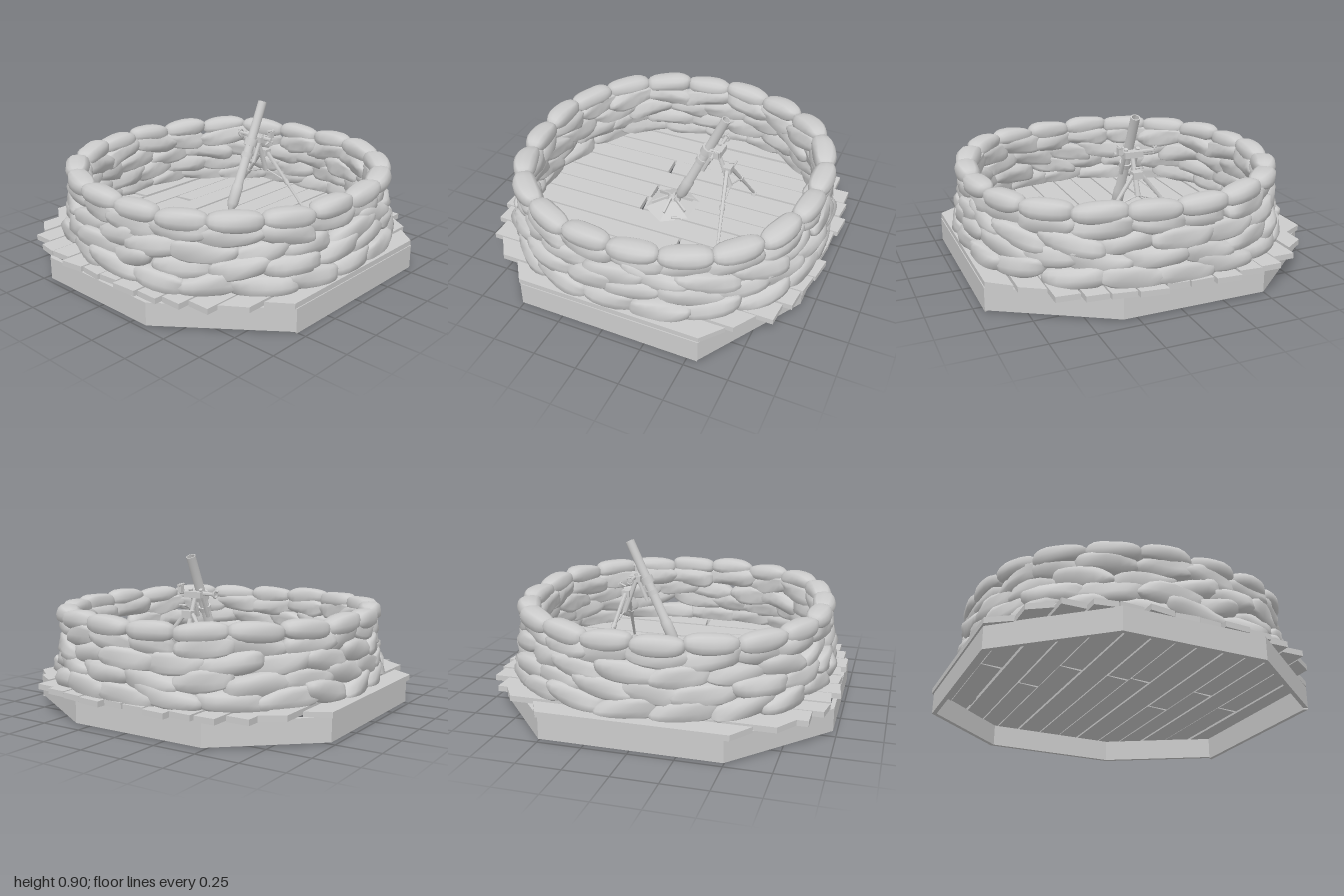
import * as THREE from 'three';
import { mergeVertices, toCreasedNormals } from 'three/addons/utils/BufferGeometryUtils.js';

const grey = new THREE.MeshStandardMaterial({ color: 0xcccccc });
const greyBoth = new THREE.MeshStandardMaterial({ color: 0xcccccc, side: THREE.DoubleSide });
const V = (x, y, z) => new THREE.Vector3(x, y, z);

let seed = 7;
const rnd = () => (seed = (seed * 16807) % 2147483647) / 2147483647;
const jit = (a) => (rnd() - 0.5) * 2 * a;

function add(parent, geo, name, mat = grey) {
  const m = new THREE.Mesh(geo, mat);
  m.name = name;
  parent.add(m);
  return m;
}

// Horizontal slab from an outline of [x, z] points
function slab(parent, pts, y, h, name) {
  const shape = new THREE.Shape(pts.map(([x, z]) => new THREE.Vector2(x, -z)));
  const geo = new THREE.ExtrudeGeometry(shape, { depth: h, bevelEnabled: false });
  geo.rotateX(-Math.PI / 2).translate(0, y, 0);
  return add(parent, geo, name);
}

// Turn a mesh's y axis along a direction
function aim(mesh, from, to) {
  mesh.position.copy(from);
  mesh.quaternion.setFromUnitVectors(V(0, 1, 0), to.clone().sub(from).normalize());
  return mesh;
}

function rod(parent, a, b, r0, r1, name, sides = 10) {
  const len = a.distanceTo(b);
  const geo = new THREE.CylinderGeometry(r1, r0, len, sides).translate(0, len / 2, 0);
  return aim(add(parent, toCreasedNormals(geo, 0.8), name), a, b);
}

// Radius factor of the slightly squared ring
const ring = (a) => Math.pow(Math.abs(Math.cos(a)) ** 2.25 + Math.abs(Math.sin(a)) ** 2.25, -1 / 2.25);
const soft = (v, p) => Math.sign(v) * Math.abs(v) ** p;

// One sandbag bent along the ring
function sandbag(parent, a, half, radius, y, depth, height, lump, name) {
  let geo = new THREE.SphereGeometry(1, 12, 10).rotateX(Math.PI / 2);
  geo.deleteAttribute('uv');
  geo.deleteAttribute('normal');
  geo = mergeVertices(geo, 1e-4);
  const p = geo.attributes.position;
  const tilt = jit(lump * 1.6), yaw = jit(lump), f1 = rnd() * 6, f2 = rnd() * 6;
  for (let i = 0; i < p.count; i++) {
    const x = p.getX(i), v = p.getY(i), t = p.getZ(i);
    const s = soft(t, 0.8);
    const wob = lump * (Math.sin(3 * s + f1 + 2 * v) + Math.sin(5 * v + f2 - 2 * s)) * 0.35;
    const ang = a + half * s;
    const r = (radius + soft(x, 0.7) * depth / 2 + wob + yaw * s) * ring(ang);
    const yy = y + soft(v, 0.7) * height / 2 + tilt * s + wob * 0.6;
    p.setXYZ(i, 0.015 + Math.cos(ang) * r, Math.max(0.15, yy), Math.sin(ang) * r);
  }
  geo.computeVertexNormals();
  add(parent, geo, name);
}

function createModel() {
  const model = new THREE.Group();

  // Octagonal skirt of boards under the deck
  const skirt = new THREE.Group();
  skirt.name = 'skirt';
  model.add(skirt);
  const oct = [[-0.51, 0.95], [0.56, 0.95], [0.93, 0.33], [0.93, -0.49],
    [0.5, -0.98], [-0.5, -0.98], [-0.98, -0.45], [-0.98, 0.35]];
  const inner = ([x, z]) => [x * 0.975, z * 0.975];
  oct.forEach((a, i) => {
    const b = oct[(i + 1) % 8];
    slab(skirt, [a, b, inner(b), inner(a)], 0.01 - (i === 0 ? 0.01 : 0), i === 0 ? 0.14 : 0.13, 'skirtBoard');
  });

  // Deck planks: back z, front z, left and right ends at each edge, optional joint x
  const deck = new THREE.Group();
  deck.name = 'deck';
  model.add(deck);
  const planks = [
    [-0.99, -0.86, -0.53, 0.51, -0.62, 0.58], [-0.85, -0.73, -0.74, 0.72, -0.82, 0.8, -0.02],
    [-0.72, -0.59, -0.88, 0.86, -0.88, 0.86], [-0.58, -0.46, -0.94, 0.95, -0.96, 0.95, 0.14],
    [-0.45, -0.32, -0.96, 0.97, -0.95, 0.96, -0.18], [-0.31, -0.17, -1, 1, -0.98, 0.99],
    [-0.16, -0.03, -0.97, 0.97, -0.98, 0.97, -0.17], [-0.02, 0.1, -0.97, 0.97, -0.96, 0.96, -0.18],
    [0.11, 0.26, -0.99, 1, -0.98, 0.98], [0.27, 0.4, -0.96, 0.97, -0.96, 0.95, 0.17],
    [0.41, 0.53, -0.92, 0.94, -0.92, 0.93, -0.15], [0.54, 0.67, -0.86, 0.88, -0.86, 0.87],
    [0.68, 0.81, -0.8, 0.78, -0.71, 0.7, 0.02], [0.82, 0.945, -0.61, 0.66, -0.52, 0.56]];
  for (const [z0, z1, l0, r0, l1, r1, joint] of planks) {
    const y = 0.14 + jit(0.004), h = 0.032;
    if (joint === undefined) {
      slab(deck, [[l0, z0], [r0, z0], [r1, z1], [l1, z1]], y, h, 'plank');
    } else {
      slab(deck, [[l0, z0], [joint - 0.015, z0], [joint - 0.005, z1], [l1, z1]], y, h, 'plank');
      slab(deck, [[joint, z0], [r0, z0], [r1, z1], [joint + 0.02, z1]], y + 0.003, h, 'plank');
    }
  }

  // Sandbag wall: rough leaning courses, then a neat top course
  const wall = new THREE.Group();
  wall.name = 'sandbagWall';
  model.add(wall);
  const step = Math.PI / 10;
  for (let c = 0; c < 4; c++) {
    for (let i = 0; i < 20; i++) {
      const a = (i + (c % 2 ? 0.5 : 0)) * step + jit(0.04);
      sandbag(wall, a, step * (0.57 + rnd() * 0.12), 0.885 - c * 0.012 + jit(0.012),
        0.215 + c * 0.088 + jit(0.012), 0.125, 0.125, 0.02, 'wallSandbag');
    }
  }
  for (let i = 0; i < 20; i++) {
    sandbag(wall, (i + 0.5) * step, step * 0.525, 0.86 + jit(0.006), 0.55 + jit(0.006),
      0.135, 0.108, 0.007, 'topSandbag');
  }

  // Mortar standing on the deck, leaning to +x
  const mortar = new THREE.Group();
  mortar.name = 'mortar';
  model.add(mortar);

  // Dished hexagonal base plate
  const plate = new THREE.CylinderGeometry(0.05, 0.185, 0.05, 6).toNonIndexed();
  plate.scale(0.9, 1, 1).computeVertexNormals();
  add(mortar, plate, 'basePlate').position.set(-0.015, 0.2, -0.01);
  for (let i = 0; i < 6; i++) {
    const a = (i + 0.5) * Math.PI / 3;
    const rib = add(mortar, new THREE.BoxGeometry(0.11, 0.025, 0.012), 'plateRib');
    rib.position.set(-0.015 + Math.cos(a) * 0.075, 0.218, -0.01 + Math.sin(a) * 0.075);
    rib.rotation.set(0, -a, -0.35, 'YXZ');
  }
  rod(mortar, V(0.1, 0.2, 0.12), V(0.05, 0.21, 0.15), 0.01, 0.01, 'plateHandle', 6);

  // Barrel with ball foot, bands and open bore
  const foot = V(0.015, 0.215, 0), muzzle = V(0.32, 0.885, 0);
  const L = foot.distanceTo(muzzle);
  const profile = [[0, 0], [0.016, 0.005], [0.02, 0.025], [0.014, 0.045], [0.026, 0.07], [0.034, 0.09],
    [0.034, 0.2], [0.028, 0.215], [0.027, L], [0.021, L], [0.021, 0.25], [0, 0.25]]
    .map(([x, y]) => new THREE.Vector2(x, y));
  aim(add(mortar, toCreasedNormals(new THREE.LatheGeometry(profile, 16), 0.6), 'barrel', greyBoth), foot, muzzle);
  const at = (t) => foot.clone().lerp(muzzle, t);
  rod(mortar, at(0.52), at(0.56), 0.036, 0.036, 'barrelBand', 14);
  rod(mortar, at(0.62), at(0.68), 0.04, 0.04, 'barrelCollar', 14);

  // Yoke, traverse screw and recoil cylinders
  const yoke = V(0.275, 0.665, 0);
  rod(mortar, V(0.275, 0.672, 0.11), V(0.275, 0.672, -0.13), 0.011, 0.011, 'traverseScrew');
  add(mortar, new THREE.BoxGeometry(0.07, 0.035, 0.11), 'yoke').position.copy(yoke);
  for (const s of [-1, 1]) {
    rod(mortar, V(0.2, 0.53, s * 0.036), V(0.275, 0.695, s * 0.036), 0.012, 0.012, 'recoilCylinder', 8);
  }
  const wheel = add(mortar, new THREE.TorusGeometry(0.02, 0.005, 6, 14), 'traverseWheel');
  wheel.position.set(0.275, 0.672, -0.135);
  rod(mortar, V(0.275, 0.69, -0.135), V(0.275, 0.69, -0.155), 0.005, 0.005, 'wheelGrip', 6);

  // Sight on its bracket
  rod(mortar, V(0.28, 0.67, 0.07), V(0.3, 0.7, 0.085), 0.007, 0.007, 'sightBracket', 6);
  add(mortar, new THREE.BoxGeometry(0.03, 0.04, 0.025), 'sight').position.set(0.3, 0.695, 0.085);
  rod(mortar, V(0.27, 0.72, 0.085), V(0.325, 0.715, 0.085), 0.007, 0.009, 'sightTube', 8);

  // Elevating column and bipod legs
  const head = V(0.345, 0.56, 0);
  rod(mortar, yoke, V(0.36, 0.44, 0), 0.012, 0.017, 'elevatingColumn');
  add(mortar, new THREE.BoxGeometry(0.05, 0.04, 0.06), 'bipodHead').position.copy(head);
  rod(mortar, V(0.35, 0.6, 0), V(0.39, 0.615, 0), 0.006, 0.006, 'elevatingCrank', 6);
  rod(mortar, V(0.39, 0.615, -0.02), V(0.39, 0.615, 0.03), 0.006, 0.006, 'crankGrip', 6);
  for (const s of [-1, 1]) {
    const top = V(0.345, 0.56, s * 0.025), end = V(0.41, 0.19, s * 0.315);
    rod(mortar, top, end, 0.013, 0.008, 'bipodLeg', 8);
    rod(mortar, top.clone().lerp(end, 0.42), top.clone().lerp(end, 0.48), 0.016, 0.016, 'legClamp', 8);
    rod(mortar, top.clone().lerp(end, 0.45), V(0.36, 0.445, 0), 0.005, 0.005, 'legBrace', 6);
    rod(mortar, V(0.41, 0.172, s * 0.315), V(0.41, 0.186, s * 0.315), 0.02, 0.016, 'legFoot', 8);
  }
  return model;
}

export { createModel };
